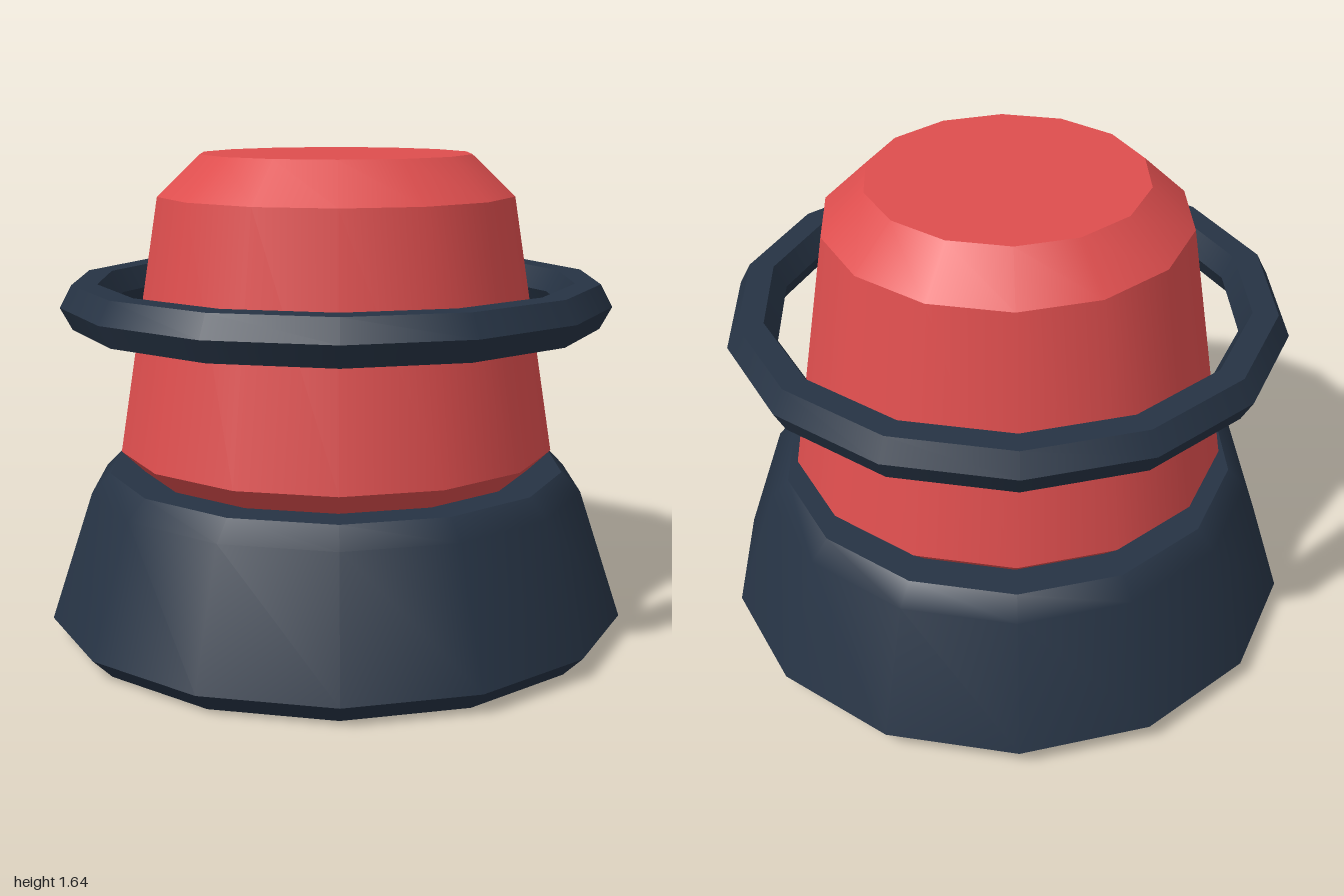
import * as THREE from 'three';
import { mergeGeometries } from 'three/addons/utils/BufferGeometryUtils.js';

const SIDES = 14;

// Revolves each band on its own: smooth around the axis, sharp between bands.
// A band is a list of [radius, height] points, running counter-clockwise.
function turned(name, material, bands) {
  const parts = bands.map((band) => new THREE.LatheGeometry(
    band.map(([r, y]) => new THREE.Vector2(r, y)), SIDES, Math.PI / 2));
  const mesh = new THREE.Mesh(mergeGeometries(parts), material);
  mesh.name = name;
  return mesh;
}

// Splits a profile into one band per segment
const segments = (profile) => profile.slice(1).map((p, i) => [profile[i], p]);

export function createModel() {
  const red = new THREE.MeshStandardMaterial({ color: 0xde4e4e });
  red.name = 'red';
  const navy = new THREE.MeshStandardMaterial({ color: 0x263344 });
  navy.name = 'dark navy';

  const model = new THREE.Group();
  model.name = 'buttonBeacon';

  // Tapered base with a softened shoulder
  model.add(turned('base', navy, [
    [[0, 0], [0.93, 0]],
    [[0.93, 0], [1, 0.07]],
    [[1, 0.07], [0.855, 0.505], [0.79, 0.57]],
    [[0.79, 0.57], [0, 0.57]],
  ]));

  // Tapered body with bevelled ends, its foot sunk into the base
  model.add(turned('body', red, segments([
    [0, 0.505], [0.605, 0.505], [0.75, 0.645],
    [0.61, 1.505], [0.465, 1.643], [0, 1.643],
  ])));

  // Floating ring with a six-sided section
  model.add(turned('ring', navy, segments([
    [0.815, 1.07], [0.9, 1.07], [0.94, 1.145], [0.9, 1.22],
    [0.815, 1.22], [0.775, 1.145], [0.815, 1.07],
  ])));

  return model;
}
